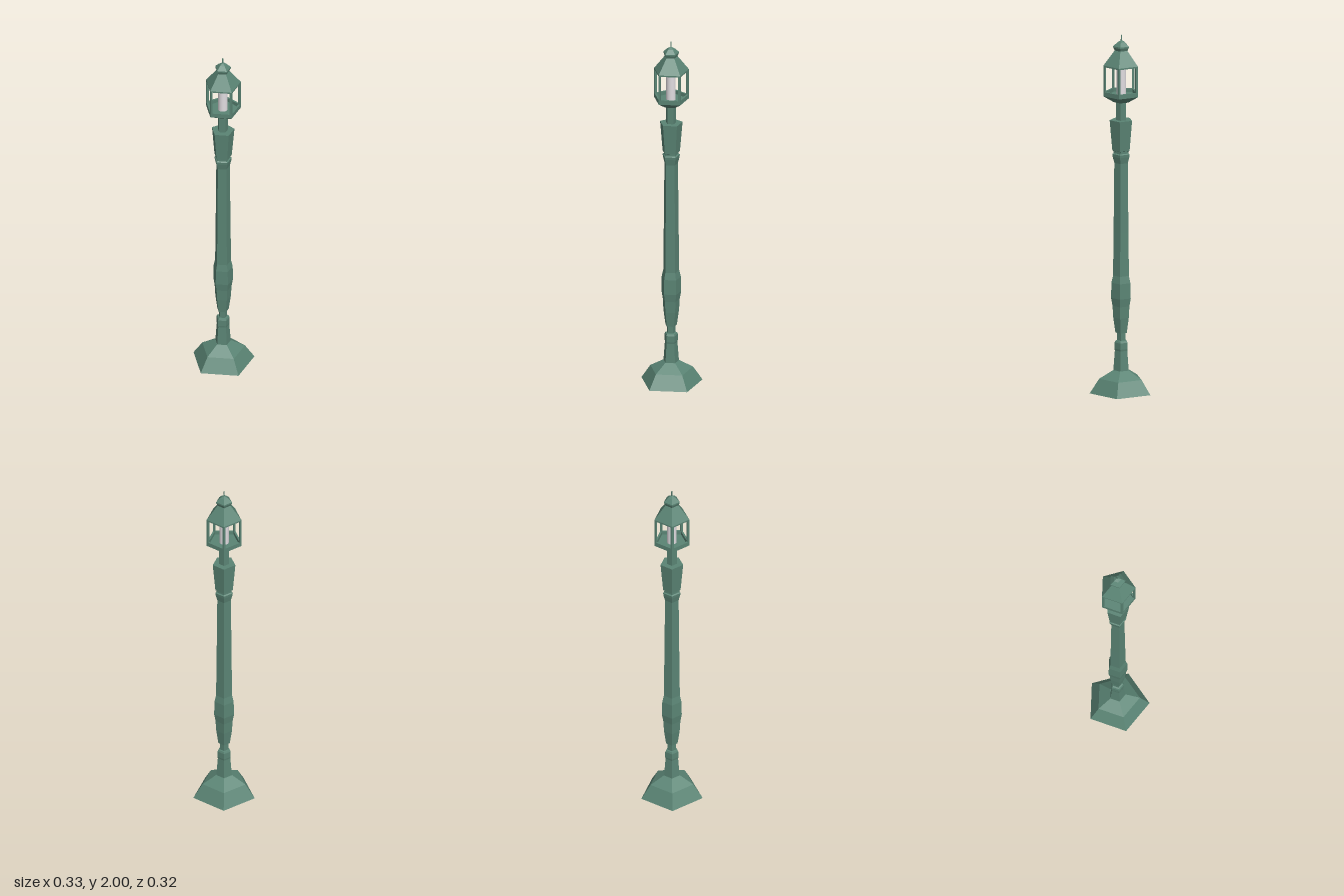
import * as THREE from 'three';

const SIDES = 5;
const green = new THREE.MeshStandardMaterial({ name: 'paintedGreen', color: 0x5a8474, flatShading: true });
const pale = new THREE.MeshStandardMaterial({ name: 'paleGlass', color: 0xe0dce0 });

// Five-sided turned part from [radius, height] pairs, with a corner at the back
function turned(name, profile) {
  const points = profile.map(([r, y]) => new THREE.Vector2(r, y));
  const mesh = new THREE.Mesh(new THREE.LatheGeometry(points, SIDES, Math.PI), green);
  mesh.name = name;
  return mesh;
}

// One open window frame of the lantern, facing +z
function windowFrame(radius, bottom, top) {
  const half = radius * Math.sin(Math.PI / SIDES);
  const post = 0.011, rail = 0.025, lintel = 0.008, depth = 0.01;
  const shape = new THREE.Shape([
    new THREE.Vector2(-half, bottom), new THREE.Vector2(half, bottom),
    new THREE.Vector2(half, top), new THREE.Vector2(-half, top),
  ]);
  const w = half - post;
  shape.holes.push(new THREE.Path([
    new THREE.Vector2(-w, bottom + rail), new THREE.Vector2(-w, top - lintel),
    new THREE.Vector2(w, top - lintel), new THREE.Vector2(w, bottom + rail),
  ]));
  const geometry = new THREE.ExtrudeGeometry(shape, { depth, bevelEnabled: false });
  geometry.translate(0, 0, radius * Math.cos(Math.PI / SIDES) - depth);
  return geometry;
}

export function createModel() {
  const model = new THREE.Group();
  model.name = 'lampPost';
  const lamp = new THREE.Group();
  lamp.name = 'lamp';
  lamp.position.z = 0.017;
  model.add(lamp);

  // Foot and pedestal
  lamp.add(turned('base', [[0, 0], [0.176, 0], [0.123, 0.08], [0.046, 0.125], [0, 0.125]]));
  lamp.add(turned('pedestal', [
    [0.045, 0.12], [0.036, 0.235], [0.038, 0.245], [0.038, 0.28], [0.033, 0.29], [0.024, 0.292], [0.024, 0.335],
  ]));

  // Shaft with its swelling and neck ring
  lamp.add(turned('shaft', [
    [0, 0.33], [0.033, 0.335], [0.045, 0.42], [0.049, 0.485], [0.057, 0.53], [0.055, 0.615],
    [0.046, 0.655], [0.043, 0.9], [0.039, 1.285], [0.048, 1.32], [0.05, 1.335],
    [0.043, 1.34], [0.043, 1.352], [0.05, 1.355],
  ]));
  lamp.add(turned('capital', [[0.05, 1.355], [0.065, 1.525], [0, 1.525]]));
  lamp.add(turned('neck', [[0.029, 1.52], [0.029, 1.63]]));

  // Lantern: pan, window frames, lamp tube, roof and finial
  const R = 0.1, sill = 1.66, eave = 1.832;
  lamp.add(turned('lanternPan', [[0, 1.625], [0.042, 1.625], [R, sill], [R - 0.012, sill + 0.004], [0, sill + 0.004]]));

  const frame = windowFrame(R, sill, eave);
  for (let i = 0; i < SIDES; i++) {
    const side = new THREE.Mesh(frame, green);
    side.name = 'windowFrame';
    side.rotation.y = (i * 2 * Math.PI) / SIDES;
    lamp.add(side);
  }

  const tube = new THREE.Mesh(new THREE.CylinderGeometry(0.026, 0.026, 0.17, 20), pale);
  tube.name = 'lampTube';
  tube.position.y = 1.747;
  lamp.add(tube);

  lamp.add(turned('roof', [[0, eave - 0.002], [R, eave - 0.002], [R, eave], [0.036, 1.915], [0, 1.915]]));
  lamp.add(turned('roofCap', [
    [0.036, 1.912], [0.045, 1.93], [0.045, 1.938], [0.022, 1.96], [0, 1.972],
  ]));

  const spike = new THREE.Mesh(new THREE.CylinderGeometry(0.003, 0.004, 0.04, SIDES), green);
  spike.name = 'spike';
  spike.position.y = 1.98;
  lamp.add(spike);

  return model;
}
